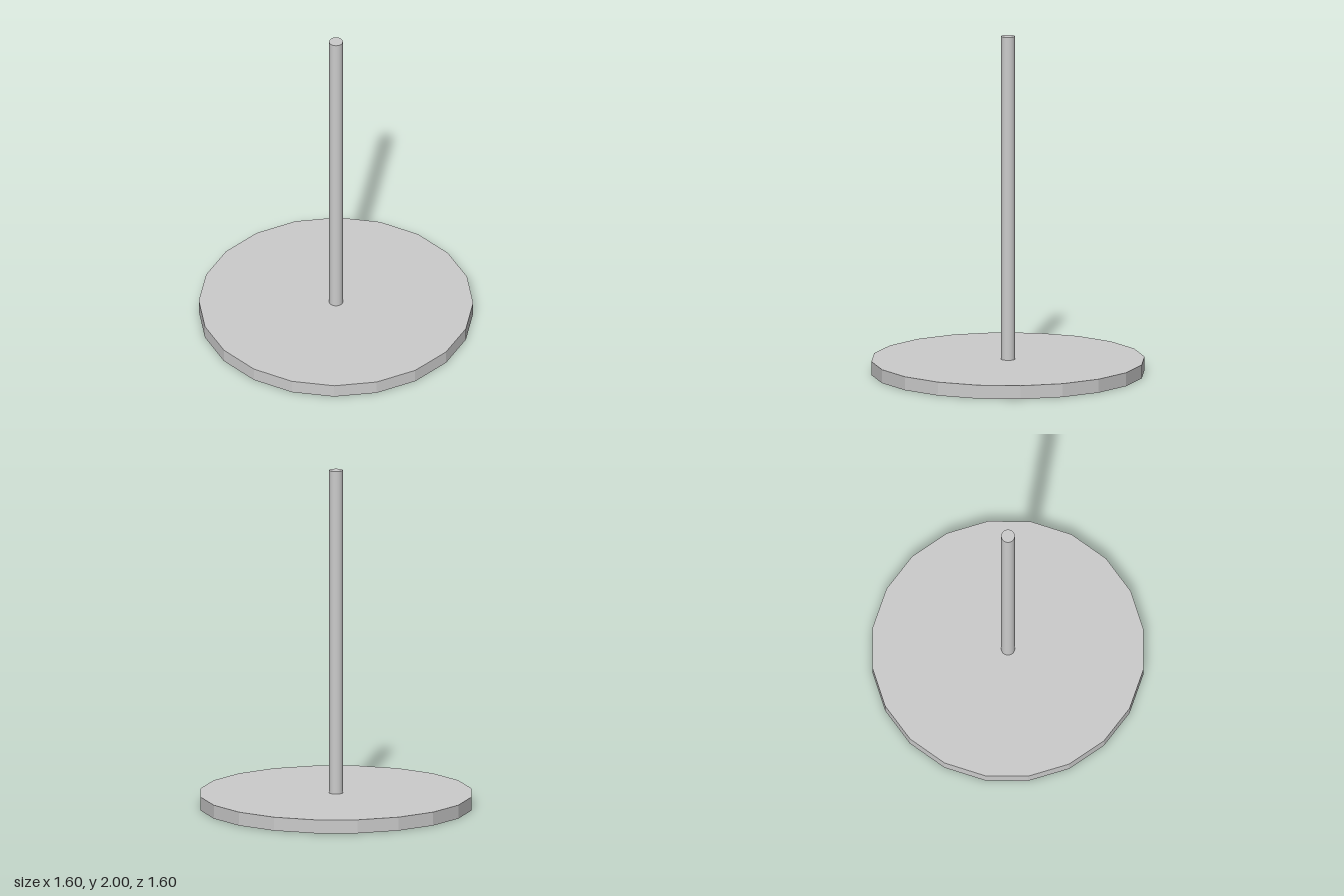
import * as THREE from 'three';

export function createModel() {
  const group = new THREE.Group();

  // Upright cylinder standing on height y
  const addCylinder = (name, radius, height, y, sides, flatShading) => {
    const geometry = new THREE.CylinderGeometry(radius, radius, height, sides);
    geometry.translate(0, y + height / 2, 0);
    const material = new THREE.MeshStandardMaterial({ color: 0xcccccc, flatShading });
    const mesh = new THREE.Mesh(geometry, material);
    mesh.name = name;
    group.add(mesh);
  };

  // Faceted twenty-sided foot plate
  addCylinder('base', 0.8, 0.08, 0, 20, true);
  // Slim round post
  addCylinder('pole', 0.04, 1.92, 0.08, 32, false);

  return group;
}
